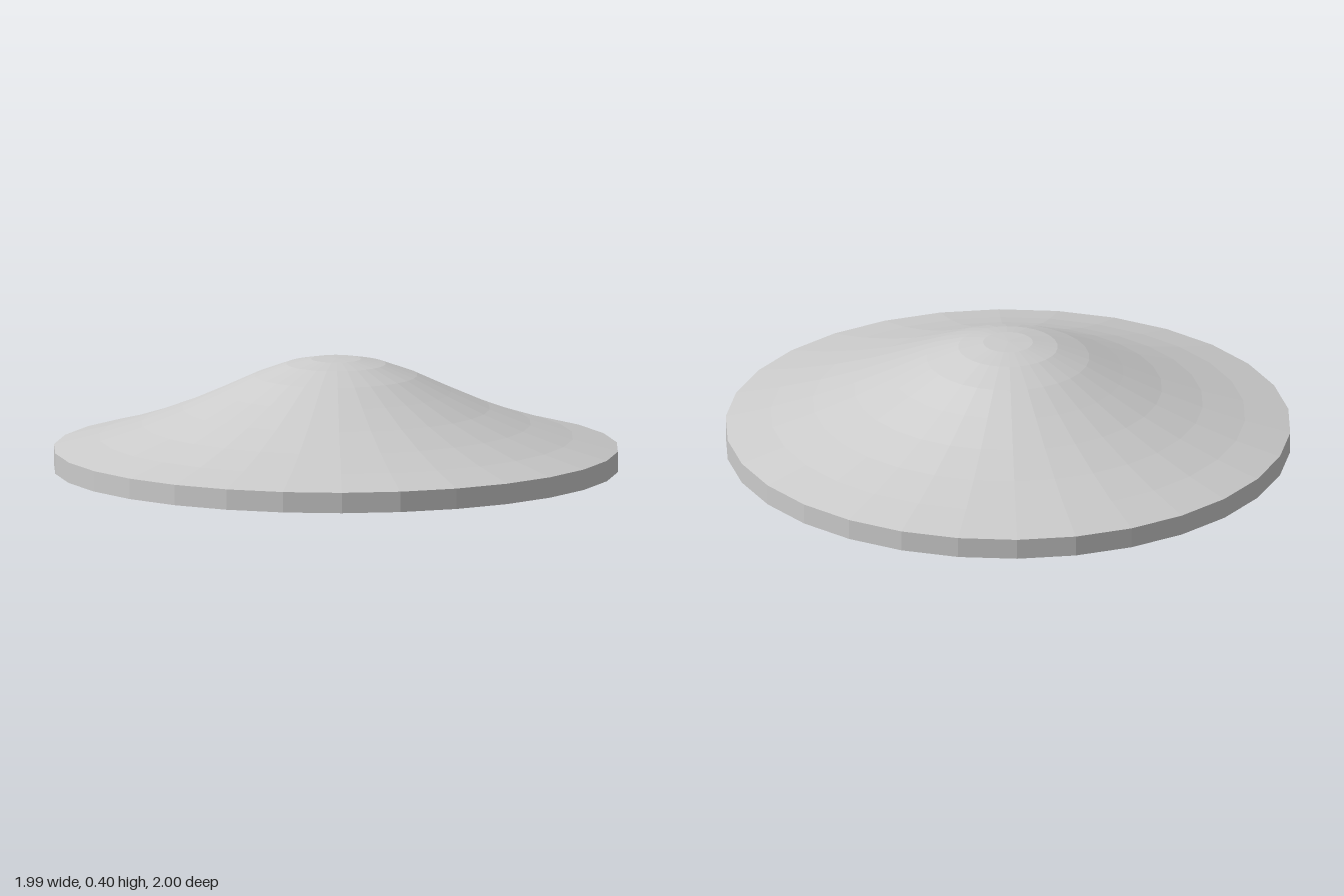
import * as THREE from 'three';

const SIDES = 30;

// Turns a list of [radius, height] pairs, listed bottom to top, into a faceted solid
function turned(name, profile) {
  const points = profile.map(([r, y]) => new THREE.Vector2(r, y));
  const material = new THREE.MeshStandardMaterial({ color: 0xcccccc, flatShading: true });
  const mesh = new THREE.Mesh(new THREE.LatheGeometry(points, SIDES), material);
  mesh.name = name;
  return mesh;
}

export function createModel() {
  const model = new THREE.Group();
  model.name = 'domedDisc';

  // Flat underside and upright rim
  model.add(turned('base', [[0, 0], [1, 0], [1, 0.073]]));

  // Bell-shaped top, flaring out to the rim
  model.add(turned('dome', [
    [1, 0.073], [0.84, 0.114], [0.69, 0.162], [0.545, 0.217], [0.41, 0.277],
    [0.288, 0.334], [0.176, 0.375], [0.088, 0.392], [0, 0.395],
  ]));

  return model;
}
